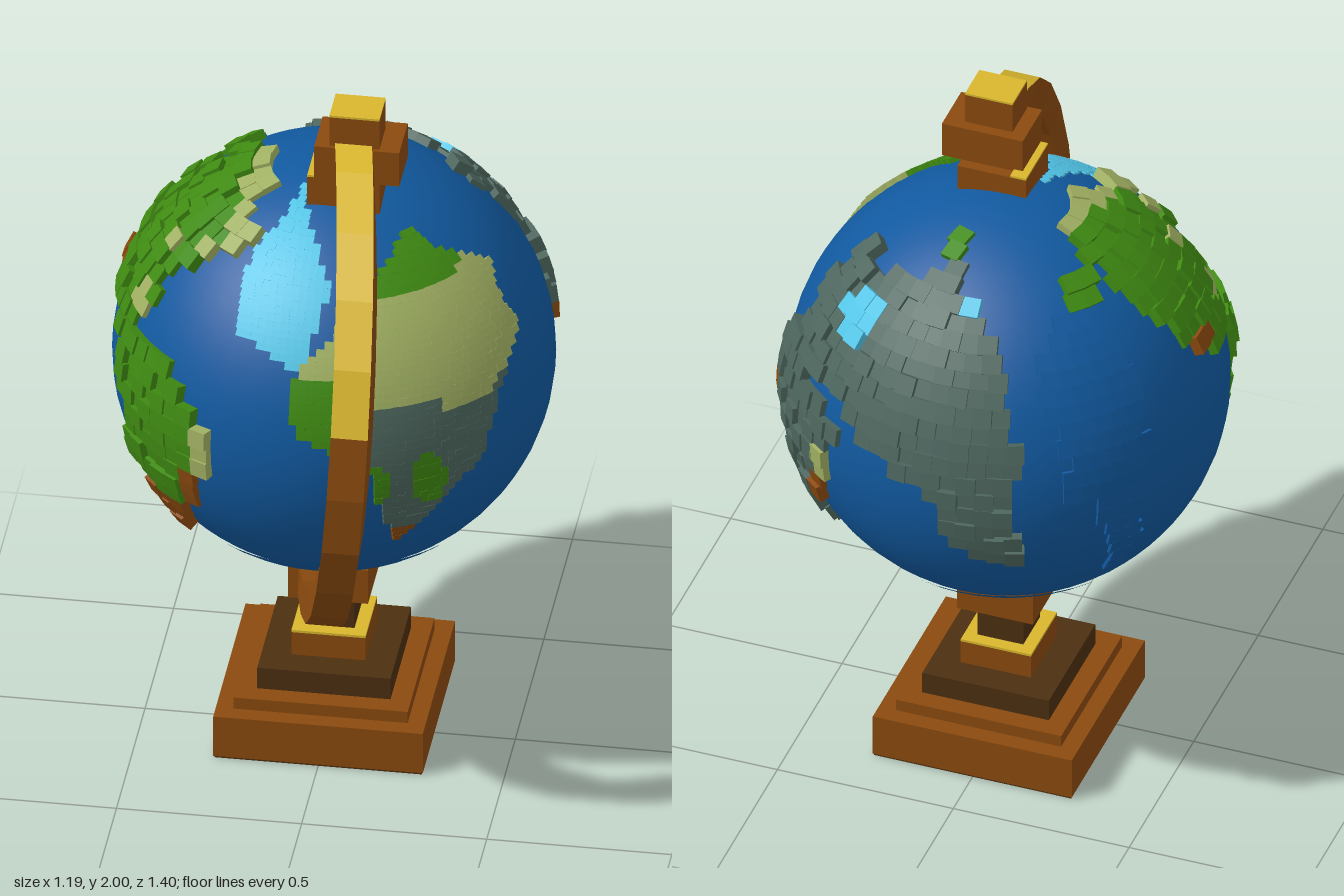
import * as THREE from 'three';
import { mergeGeometries } from 'three/addons/utils/BufferGeometryUtils.js';

const R = 0.593;
const { degToRad } = THREE.MathUtils;

const mat = (name, color) => {
  const m = new THREE.MeshStandardMaterial({ color });
  m.name = name;
  return m;
};

const M = {
  ocean: mat('ocean blue', 0x11599f),
  ice: mat('ice cyan', 0x50c4e6),
  forest: mat('forest green', 0x3f8a12),
  plain: mat('plain olive', 0xa0b062),
  highland: mat('highland grey green', 0x4d665e),
  wood: mat('wood brown', 0x8a4a0e),
  darkWood: mat('dark wood', 0x4c2f10),
  gold: mat('gold', 0xd8b62c),
};

// Small seeded random
let seed = 7;
const rand = () => (seed = (seed * 16807) % 2147483647) / 2147483647;

// Flat outlines on the unit disc of the globe
const ellipse = (cu, cv, ru, rv = ru) => (u, v) => ((u - cu) / ru) ** 2 + ((v - cv) / rv) ** 2 < 1;
const polygon = (...o) => (u, v) => {
  let hit = false;
  o.forEach(([ax, ay], i) => {
    const [bx, by] = o[(i + 1) % o.length];
    if ((ay > v) !== (by > v) && u < ((bx - ax) * (v - ay)) / (by - ay) + ax) hit = !hit;
  });
  return hit;
};

// Project an outline on the globe from an azimuth and elevation, with a colour rule
function region(az, el, outline, paint) {
  const a = degToRad(az), e = degToRad(el);
  const c = new THREE.Vector3(Math.sin(a) * Math.cos(e), Math.sin(e), Math.cos(a) * Math.cos(e));
  const r = new THREE.Vector3(Math.cos(a), 0, -Math.sin(a));
  const up = new THREE.Vector3().crossVectors(c, r);
  return (d) => {
    const u = d.dot(r), v = d.dot(up);
    return d.dot(c) > 0 && outline(u, v) ? paint(u, v, d) : null;
  };
}

// Cover the regions with tangent tiles, merged per colour
function tileLand(group, name, regions, step, low, high, overlap) {
  const lists = {};
  const dir = new THREE.Vector3(), o = new THREE.Object3D();
  const size = degToRad(step) * R * overlap;
  for (let lat = -85; lat < 88; lat += step) {
    const n = Math.round((360 * Math.cos(degToRad(lat))) / step);
    for (let i = 0; i < n; i++) {
      dir.setFromSphericalCoords(1, degToRad(90 - lat), (i / n) * Math.PI * 2);
      let key = null;
      for (const test of regions) if ((key = test(dir))) break;
      if (!key) continue;
      const h = key === 'ocean' ? 0.008 : low + (high - low) * rand();
      const g = new THREE.BoxGeometry(size, size, h + 0.02);
      o.position.copy(dir).multiplyScalar(R + h / 2 - 0.01);
      o.lookAt(dir.clone().multiplyScalar(2));
      o.updateMatrix();
      (lists[key] ??= []).push(g.applyMatrix4(o.matrix));
    }
  }
  for (const key in lists) {
    const mesh = new THREE.Mesh(mergeGeometries(lists[key]), M[key]);
    mesh.name = `${name} ${key}`;
    group.add(mesh);
  }
}

function makeGlobe() {
  const g = new THREE.Group();
  g.name = 'globe';
  g.position.set(0, 1.15, -0.07);
  const sea = new THREE.Mesh(new THREE.SphereGeometry(R, 48, 32), M.ocean);
  sea.name = 'ocean sphere';
  // Slightly raised southern cap
  const cap = new THREE.Mesh(
    new THREE.SphereGeometry(R + 0.006, 48, 10, 0, Math.PI * 2, Math.PI * 0.755, Math.PI * 0.245), M.ocean);
  cap.name = 'southern cap';
  g.add(sea, cap);

  const all = (key) => () => key;
  const northwest = (u, v, d) => {
    if (d.z < 0.1 && d.y < 0.44) return 'wood';
    return d.x > -0.38 || (d.z > 0.3 && rand() < 0.5) ? 'plain' : 'forest';
  };
  const southwest = (u, v) => {
    if (v < -0.42 || (u > -0.56 && v < -0.16)) return 'wood';
    return u > -0.52 ? 'plain' : 'forest';
  };
  const eastSpeck = ellipse(0.18, 0.42, 0.07), earthA = ellipse(-0.34, 0.48, 0.07), earthB = ellipse(0.12, 0.28, 0.07);
  const southeast = (u, v) => {
    if (eastSpeck(u, v)) return 'plain';
    return earthA(u, v) || earthB(u, v) ? 'wood' : 'highland';
  };
  // Great eastern land: a band around the north, cut ragged along its polar edge
  const northBand = (d) => {
    const lon = Math.atan2(d.x, -d.z);
    return lon > -0.1 && lon < 1.1 && d.y > 0.33 && d.y < 0.79 + 0.04 * Math.sin(lon * 14) ? 'highland' : null;
  };

  tileLand(g, 'raised land', [
    region(0, 0, polygon([-0.9, 0.3], [-0.68, 0.32], [-0.38, 0], [-0.5, -0.2], [-0.55, -0.6], [-0.82, -0.33]), southwest),
    region(0, 90, ellipse(-0.6, -0.11, 0.34, 0.32), northwest),
    region(0, 0, polygon([-0.94, 0.34], [-0.8, 0.36], [-0.66, 0.62], [-0.3, 0.84], [-0.3, 0.97]), northwest),
    // Small islands
    region(0, 90, ellipse(-0.45, 0.33, 0.07), all('forest')),
    region(0, 90, ellipse(0.11, 0.35, 0.07), all('forest')),
    region(0, 90, ellipse(-0.04, 0.6, 0.06), all('ice')),
    region(0, 90, ellipse(0.47, 0.6, 0.09), all('ice')),
    // Eastern lands
    northBand,
    region(-135, 25, polygon([-0.85, 0.6], [-0.38, 0.7], [-0.38, -0.64], [-0.54, -0.62], [-0.92, 0.05]), all('highland')),
    region(135, -30, polygon([-0.44, 0.65], [-0.2, 0.8], [0.24, 0.6], [0.04, 0.14], [-0.1, -0.18], [-0.2, 0.25]), southeast),
    // Submerged ridges
    region(-135, 25, ellipse(0.12, -0.25, 0.12, 0.6), all('ocean')),
    region(0, 90, ellipse(-0.6, 0.6, 0.2), all('ocean')),
  ], 4.6, 0.01, 0.032, 1.12);

  // Smooth land at the front, painted in zones
  const groveA = ellipse(0.55, -0.11, 0.07, 0.14), groveB = ellipse(0.33, -0.1, 0.05, 0.12);
  const frontZones = (u, v) => {
    if (v < -0.38) return 'wood';
    if (groveA(u, v) || groveB(u, v) || (u < 0.17 && v < 0.4) || (v > 0.7 && u < 0.6)) return 'forest';
    return v > (u > 0.6 && u < 0.8 ? 0.21 : 0.29) ? 'plain' : 'highland';
  };
  tileLand(g, 'front land', [
    region(0, 0, polygon([-0.05, 0.4], [0.38, 0.87], [0.72, 0.67], [0.87, 0.4], [0.76, -0.08], [0.4, -0.47], [0.3, 0], [-0.03, 0.16]),
      frontZones),
  ], 2, 0.012, 0.014, 1.06);
  tileLand(g, 'ice land', [
    region(0, 0, polygon([-0.3, 0.8], [-0.1, 0.98], [0.09, 0.75], [-0.02, 0.42], [-0.32, 0.55]), all('ice')),
  ], 2, 0.003, 0.004, 1.06);
  return g;
}

// Box from its ranges
function block(name, x0, x1, y0, y1, z0, z1, material) {
  const m = new THREE.Mesh(new THREE.BoxGeometry(x1 - x0, y1 - y0, z1 - z0), material);
  m.name = name;
  m.position.set((x0 + x1) / 2, (y0 + y1) / 2, (z0 + z1) / 2);
  return m;
}

// Curved arm: a square section swept along a leaning arc, gilded on its upper outside
function makeArm() {
  const count = 12, w = 0.05;
  const loops = Array.from({ length: count + 1 }, (_, i) => {
    const a = degToRad(84 - (i * 170) / count);
    const x = 0.05 * Math.sin(a) + 0.15 * Math.cos(a);
    const corner = (side, r) => [x + side * w, 1.18 + r * Math.sin(a), -0.05 + r * Math.cos(a)];
    return [corner(1, 0.757), corner(-1, 0.757), corner(-1, 0.665), corner(1, 0.665)];
  });
  const pos = [], geo = new THREE.BufferGeometry();
  for (let i = 0; i < count; i++) {
    for (let k = 0; k < 4; k++) {
      const n = (k + 1) % 4, a = loops[i][n], b = loops[i + 1][n], c = loops[i + 1][k], d = loops[i][k];
      geo.addGroup(pos.length / 3, 6, k === 0 && i < 5 ? 1 : 0);
      pos.push(...a, ...b, ...c, ...a, ...c, ...d);
    }
  }
  geo.setAttribute('position', new THREE.Float32BufferAttribute(pos, 3));
  geo.computeVertexNormals();
  const arm = new THREE.Mesh(geo, [M.wood, M.gold]);
  arm.name = 'curved arm';
  return arm;
}

export function createModel() {
  const model = new THREE.Group();
  model.name = 'desk globe';

  // Stepped square stand: half width, bottom, top
  const step = (name, h, y0, y1, m) => model.add(block(name, -h, h, y0, y1, -0.07 - h, -0.07 + h, m));
  step('base underside', 0.28, 0, 0.008, M.darkWood);
  step('base', 0.283, 0.006, 0.13, M.wood);
  step('base step', 0.235, 0.13, 0.165, M.wood);
  step('plinth', 0.18, 0.16, 0.23, M.darkWood);
  step('collar', 0.1, 0.23, 0.3, M.wood);
  step('collar trim', 0.1, 0.3, 0.307, M.gold);
  step('post', 0.065, 0.3, 0.6, M.darkWood);
  step('arm socket', 0.108, 0.415, 0.52, M.wood);

  // Top bearing
  model.add(
    block('bearing', -0.045, 0.15, 1.7, 1.8, -0.06, 0.11, M.wood),
    block('bearing trim', -0.045, 0, 1.8, 1.806, -0.06, 0.11, M.gold),
    block('arm clamp', -0.025, 0.205, 1.8, 1.905, -0.03, 0.12, M.wood),
    block('finial', 0.015, 0.15, 1.9, 1.994, 0, 0.11, M.wood),
    block('finial trim', 0.015, 0.15, 1.994, 2, 0, 0.11, M.gold),
  );
  model.add(makeArm(), makeGlobe());
  return model;
}
